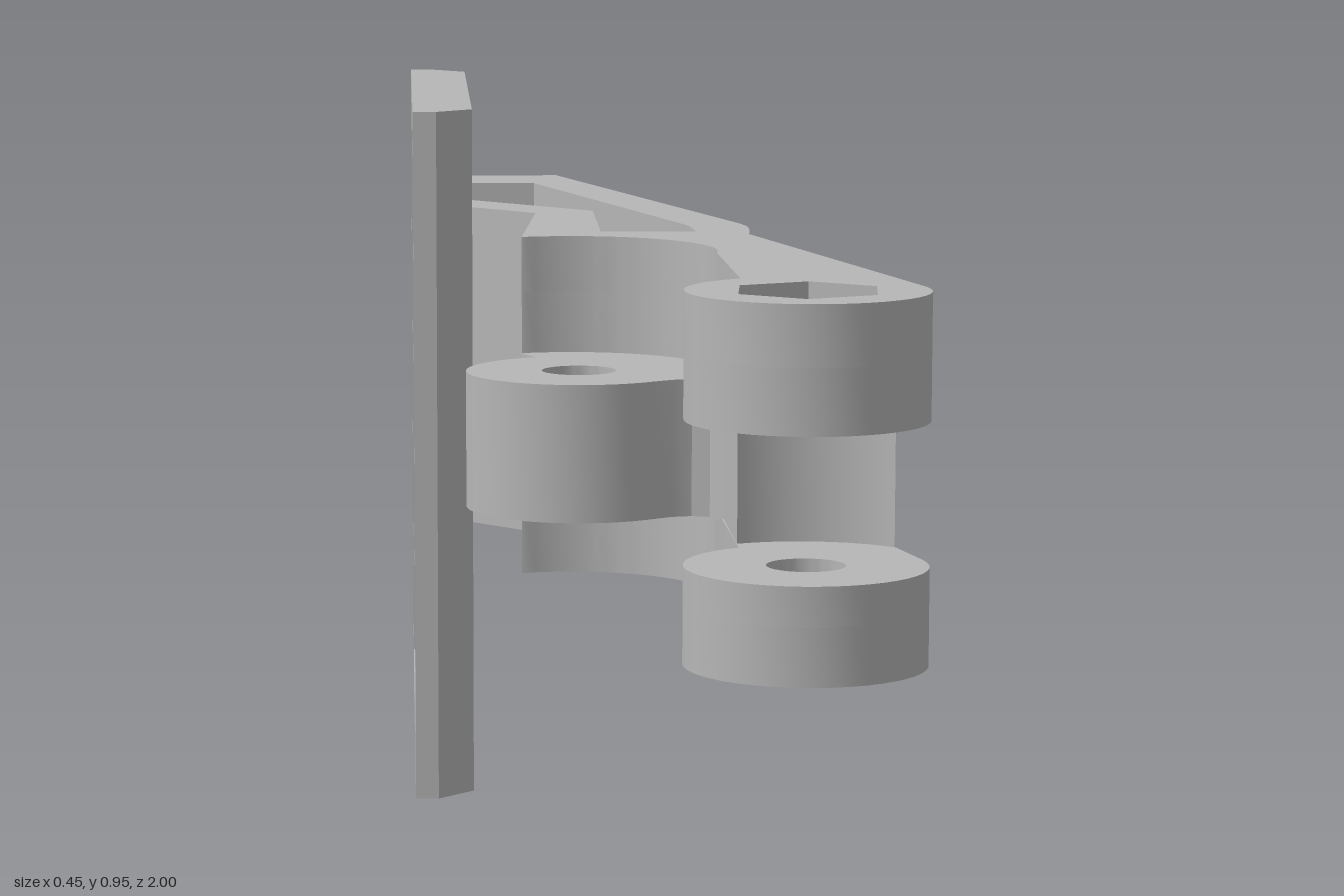
import * as THREE from 'three';
import { toCreasedNormals } from 'three/addons/utils/BufferGeometryUtils.js';

const grey = new THREE.MeshStandardMaterial({ color: 0xb6b6b6 });
grey.name = 'plain grey';

const FORK = [0.04, 0.855];   // front pivot (x, z)
const KNUCKLE = [-0.085, 0.35]; // side pivot (x, z)

// Points of an arc in the x-z plane, angles in degrees
function arc([cx, cz], r, from, to, steps = 32) {
  const points = [];
  for (let i = 0; i <= steps; i++) {
    const a = THREE.MathUtils.degToRad(from + (to - from) * i / steps);
    points.push([cx + r * Math.cos(a), cz + r * Math.sin(a)]);
  }
  return points;
}

const ring = (centre, r) => arc(centre, r, 0, 360, 40).slice(0, -1);
const toVectors = (points) => points.map(([x, z]) => new THREE.Vector2(x, -z));

// Upright slab between two heights from an x-z outline and its holes
function slab(name, outline, y0, y1, holes = []) {
  const shape = new THREE.Shape(toVectors(outline));
  for (const h of holes) shape.holes.push(new THREE.Path(toVectors(h)));
  const geo = new THREE.ExtrudeGeometry(shape, { depth: y1 - y0, bevelEnabled: false });
  geo.rotateX(-Math.PI / 2);
  geo.translate(0, y0, 0);
  const mesh = new THREE.Mesh(toCreasedNormals(geo, 0.4), grey);
  mesh.name = name;
  return mesh;
}

export function createModel() {
  const model = new THREE.Group();
  model.name = 'hingedClip';

  // Rear half of the arm: outer spine, hooked end and springy inner strut
  const rear = [
    [0.19, 0.21], [0.21, 0.155], [0.222, 0.11], [0.225, 0.07],
    [0.205, -0.72], [0.075, -0.75], [0.04, -0.63], [0.135, -0.6],
    [0.15, 0.08], [0.135, 0.155], [0.015, 0.12], [0.09, -0.16],
    [-0.03, -0.37], [-0.057, -0.26], [0.005, -0.15], [-0.105, 0.16],
  ];

  // Fork layers: scooped beside the knuckle, rounded at the front
  const forkOutline = [
    ...rear,
    ...arc([-0.093, 0.345], 0.184, -92, 25),
    ...arc(FORK, 0.145, -104, -360),
  ];
  // Middle layer: knuckle on the side, hollow end between the fork cheeks
  const coreOutline = [
    ...rear,
    ...arc(KNUCKLE, 0.143, -96, -292),
    [0, 0.472], [0.025, 0.473], [0.045, 0.485], [0.056, 0.508],
    ...arc(FORK, 0.17, -99.5, -31.5, 16),
  ];

  // Bolt hole with a hexagonal nut pocket above and a round head pocket below
  const bolt = ring(FORK, 0.047);
  const nut = arc(FORK, 0.093, -10, 350, 6).slice(0, -1);
  const head = ring(FORK, 0.092);

  const arm = new THREE.Group();
  arm.name = 'arm';
  arm.add(
    slab('lowerForkPocket', forkOutline, 0.36, 0.43, [head]),
    slab('lowerFork', forkOutline, 0.43, 0.478, [bolt]),
    slab('armCoreWithKnuckle', coreOutline, 0.478, 0.651, [ring(KNUCKLE, 0.047)]),
    slab('upperFork', forkOutline, 0.651, 0.73, [bolt]),
    slab('upperForkNutPocket', forkOutline, 0.73, 0.803, [nut]),
  );
  model.add(arm);

  // Slanted plate with bevelled ends and a shallow panel sunk in its back
  const a = [-0.175, -0.125], b = [0.055, -1];
  const profile = [b, [0.085, -0.995], [0.12, -0.925], [-0.085, -0.15], [-0.145, -0.115], a];
  const length = Math.hypot(b[0] - a[0], b[1] - a[1]);
  const u = [(b[0] - a[0]) / length, (b[1] - a[1]) / length];
  const onBack = (along, deep) => [
    a[0] + u[0] * along - u[1] * deep,
    a[1] + u[1] * along + u[0] * deep,
  ];
  const rim = 0.045, depth = 0.012, top = 0.947;
  const sunk = [
    ...profile, onBack(rim, 0), onBack(rim, depth),
    onBack(length - rim, depth), onBack(length - rim, 0),
  ];
  const plate = new THREE.Group();
  plate.name = 'plate';
  plate.add(
    slab('plateBottomRim', profile, 0, rim),
    slab('platePanel', sunk, rim, top - rim),
    slab('plateTopRim', profile, top - rim, top),
  );
  model.add(plate);

  return model;
}
